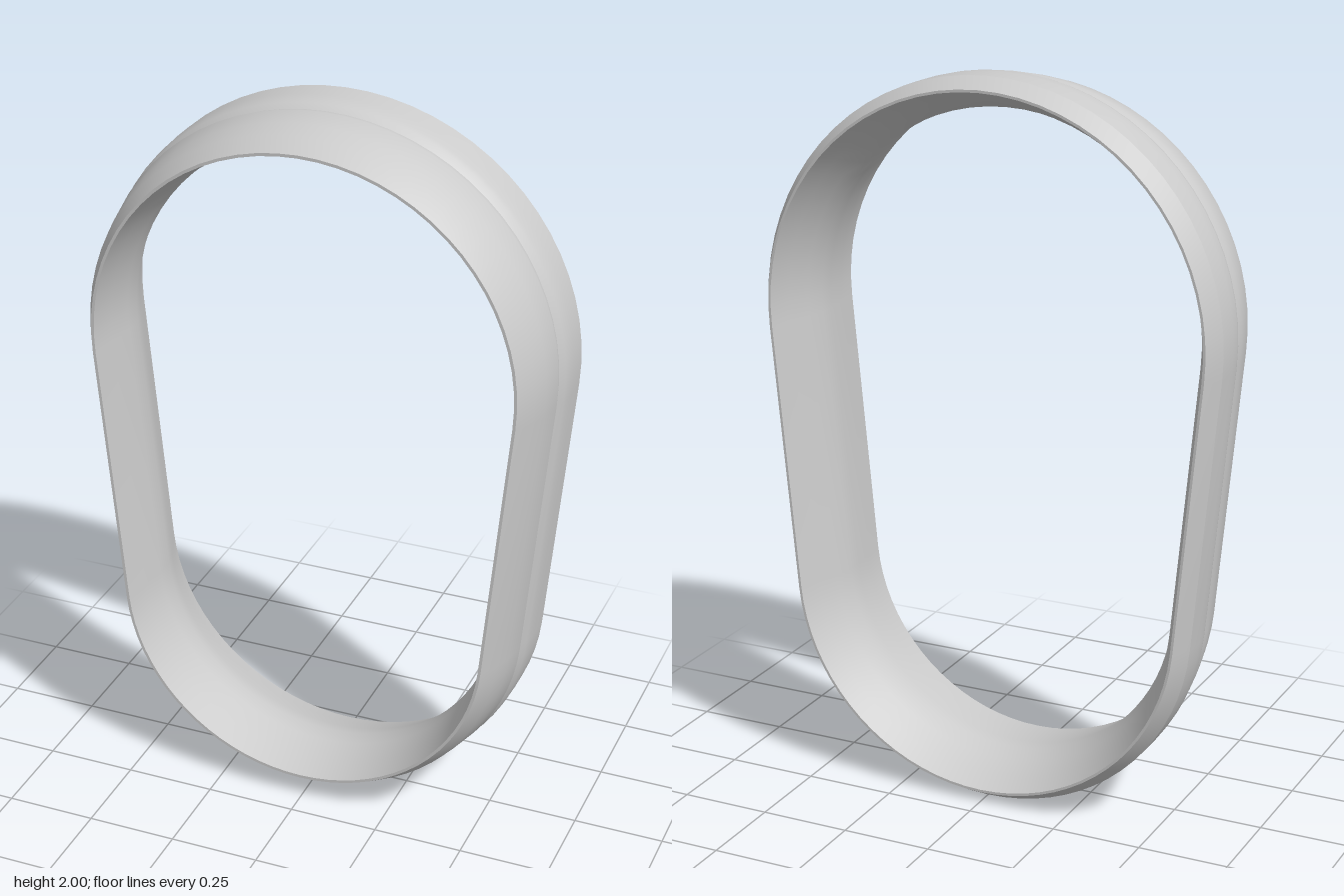
import * as THREE from 'three';
import { toCreasedNormals } from 'three/addons/utils/BufferGeometryUtils.js';

// Egg-shaped outline: two arcs joined by tangent sides, as arc centre, radius and outward normal
const TOP = { y: 1.34, r: 0.66 };
const BOTTOM = { y: 0.59, r: 0.59 };
const ARC_STEPS = 36;

function outline() {
  const tilt = Math.asin((TOP.r - BOTTOM.r) / (TOP.y - BOTTOM.y));
  const points = [];
  const addArc = (arc, from, to) => {
    for (let i = 0; i <= ARC_STEPS; i++) {
      const a = from + (to - from) * i / ARC_STEPS;
      points.push({ nx: Math.cos(a), ny: Math.sin(a), cy: arc.y, r: arc.r });
    }
  };
  addArc(TOP, -tilt, Math.PI + tilt);
  addArc(BOTTOM, Math.PI + tilt, 2 * Math.PI - tilt);
  return points;
}

// Closed cross-section: [inset from the outline, z], outside front to back, then inside back to front
const SECTION = [
  [0.067, 0.187], [0.039, 0.135], [0.025, 0.08], [0.012, 0.02],
  [0.018, -0.003], [0.006, -0.02], [0.002, -0.035], // fine groove
  [0, -0.07], [0, -0.137], [0.029, -0.187], // rear band and chamfer
  [0.036, -0.187], [0.06, -0.13], [0.085, -0.07], // thin rear rim widening inward
  [0.1, -0.02], [0.098, 0.03], // inner ridge
  [0.088, 0.11], [0.075, 0.187], // thin front rim
];

function sweepSection(path, section) {
  const positions = [];
  const index = [];
  const n = section.length;
  for (const p of path) {
    for (const [inset, z] of section) {
      positions.push(p.nx * (p.r - inset), p.cy + p.ny * (p.r - inset), z);
    }
  }
  for (let i = 0; i < path.length; i++) {
    const next = (i + 1) % path.length;
    for (let j = 0; j < n; j++) {
      const k = (j + 1) % n;
      const a = i * n + j, b = i * n + k, c = next * n + k, d = next * n + j;
      index.push(a, b, c, a, c, d);
    }
  }
  const geometry = new THREE.BufferGeometry();
  geometry.setAttribute('position', new THREE.Float32BufferAttribute(positions, 3));
  geometry.setIndex(index);
  return toCreasedNormals(geometry, 0.48);
}

export function createModel() {
  const group = new THREE.Group();
  group.name = 'ovalRing';
  const material = new THREE.MeshStandardMaterial({ color: 0xcccccc });
  const band = new THREE.Mesh(sweepSection(outline(), SECTION), material);
  band.name = 'groovedBand';
  group.add(band);
  return group;
}
